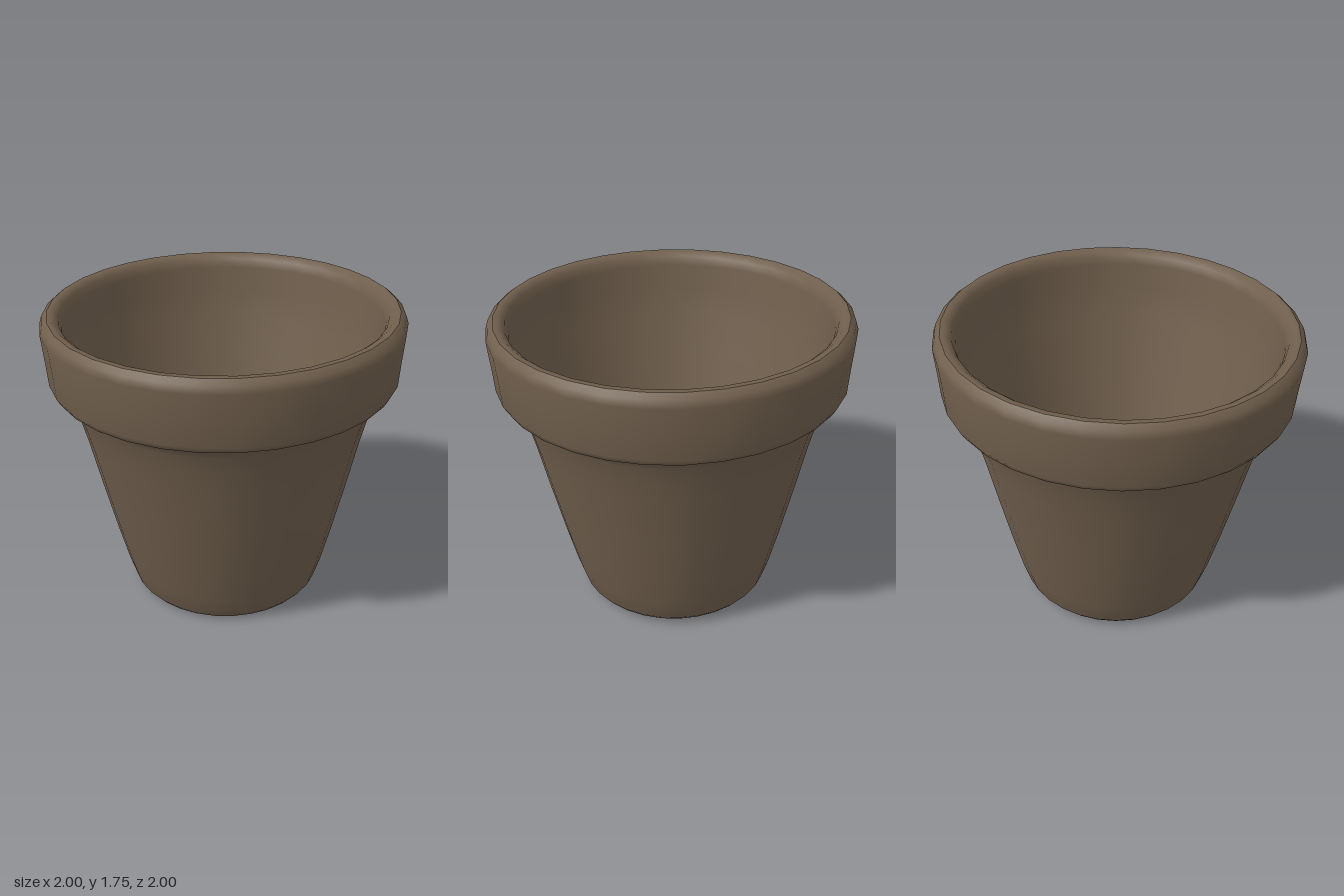
import * as THREE from 'three';

const clay = new THREE.MeshStandardMaterial({ color: 0x705f4d });
clay.name = 'brown clay';

// Revolve a list of [radius, height] points around the pot's axis
function revolve(name, profile) {
  const points = profile.map(([r, y]) => new THREE.Vector2(r, y));
  const mesh = new THREE.Mesh(new THREE.LatheGeometry(points, 32), clay);
  mesh.name = name;
  return mesh;
}

export function createModel() {
  const group = new THREE.Group();
  group.name = 'flowerPot';

  // Recessed underside, foot, tapering wall and overhanging collar
  const outside = [
    [0.10, 0.07], [0.30, 0.06], [0.41, 0.035], [0.45, 0.005], [0.49, 0.0],
    [0.535, 0.01], [0.56, 0.04], [0.60, 0.17], [0.657, 0.40], [0.725, 0.70],
    [0.79, 1.00], [0.825, 1.14], [0.855, 1.24], [0.875, 1.28], [0.90, 1.305],
    [0.955, 1.325], [0.975, 1.36], [0.985, 1.50], [0.998, 1.65], [0.985, 1.69],
    [0.955, 1.715],
  ];
  // Rounded lip, inner wall and floor
  const inside = [
    [0.955, 1.715], [0.925, 1.715], [0.895, 1.69], [0.88, 1.64], [0.865, 1.50],
    [0.83, 1.33], [0.76, 1.08], [0.66, 0.70], [0.57, 0.38], [0.52, 0.24],
    [0.48, 0.185], [0.42, 0.16], [0.28, 0.15], [0.12, 0.15], [0.10, 0.14],
  ];
  const pot = new THREE.Group();
  pot.name = 'pot';
  pot.add(
    revolve('outerShell', outside),
    revolve('innerShell', inside),
    revolve('drainHole', [[0.10, 0.14], [0.10, 0.07]]),
  );

  // Hand-made lean of the whole pot
  pot.rotation.set(0.014, 0, 0.017);
  pot.position.set(0.028, 0.011, -0.022);
  group.add(pot);
  return group;
}
